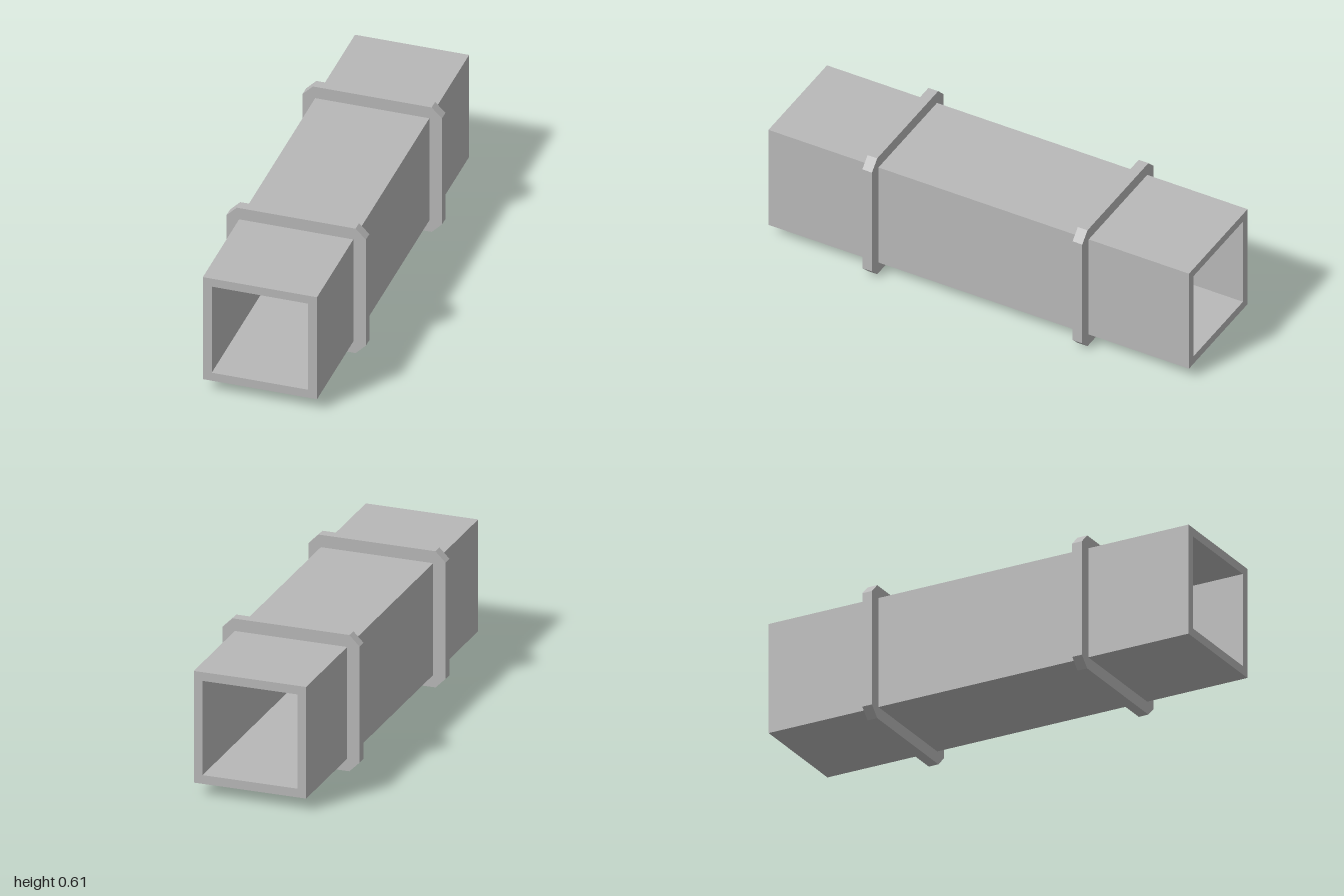
import * as THREE from 'three';

const CENTER_Y = 0.305;

// Square outline with optional 45-degree corner cuts
function squarePoints(half, cut = 0) {
  const points = [];
  for (const [sx, sy] of [[1, -1], [1, 1], [-1, 1], [-1, -1]]) {
    if (!cut) {
      points.push(new THREE.Vector2(sx * half, sy * half));
      continue;
    }
    const onSide = new THREE.Vector2(sx * half, sy * (half - cut));
    const onEnd = new THREE.Vector2(sx * (half - cut), sy * half);
    points.push(...(sx * sy < 0 ? [onEnd, onSide] : [onSide, onEnd]));
  }
  return points;
}

// Hollow square frame extruded along z and centred on z = 0
function frameGeometry(outer, inner, length, cut = 0) {
  const shape = new THREE.Shape(squarePoints(outer, cut));
  shape.holes.push(new THREE.Path(squarePoints(inner).reverse()));
  const geometry = new THREE.ExtrudeGeometry(shape, { depth: length, bevelEnabled: false });
  return geometry.translate(0, 0, -length / 2);
}

export function createModel() {
  const group = new THREE.Group();
  group.name = 'squareDuct';
  const greyMetal = new THREE.MeshStandardMaterial({ color: 0xb8b8b8 });
  greyMetal.name = 'greyMetal';

  // Open-ended square tube
  const tube = new THREE.Mesh(frameGeometry(0.25, 0.211, 2), greyMetal);
  tube.name = 'tube';
  tube.position.y = CENTER_Y;
  group.add(tube);

  // Two chamfered collars around the tube
  const collarGeometry = frameGeometry(0.305, 0.25, 0.046, 0.045);
  for (const [name, z] of [['frontCollar', 0.5], ['backCollar', -0.5]]) {
    const collar = new THREE.Mesh(collarGeometry, greyMetal);
    collar.name = name;
    collar.position.set(0, CENTER_Y, z);
    group.add(collar);
  }

  return group;
}
